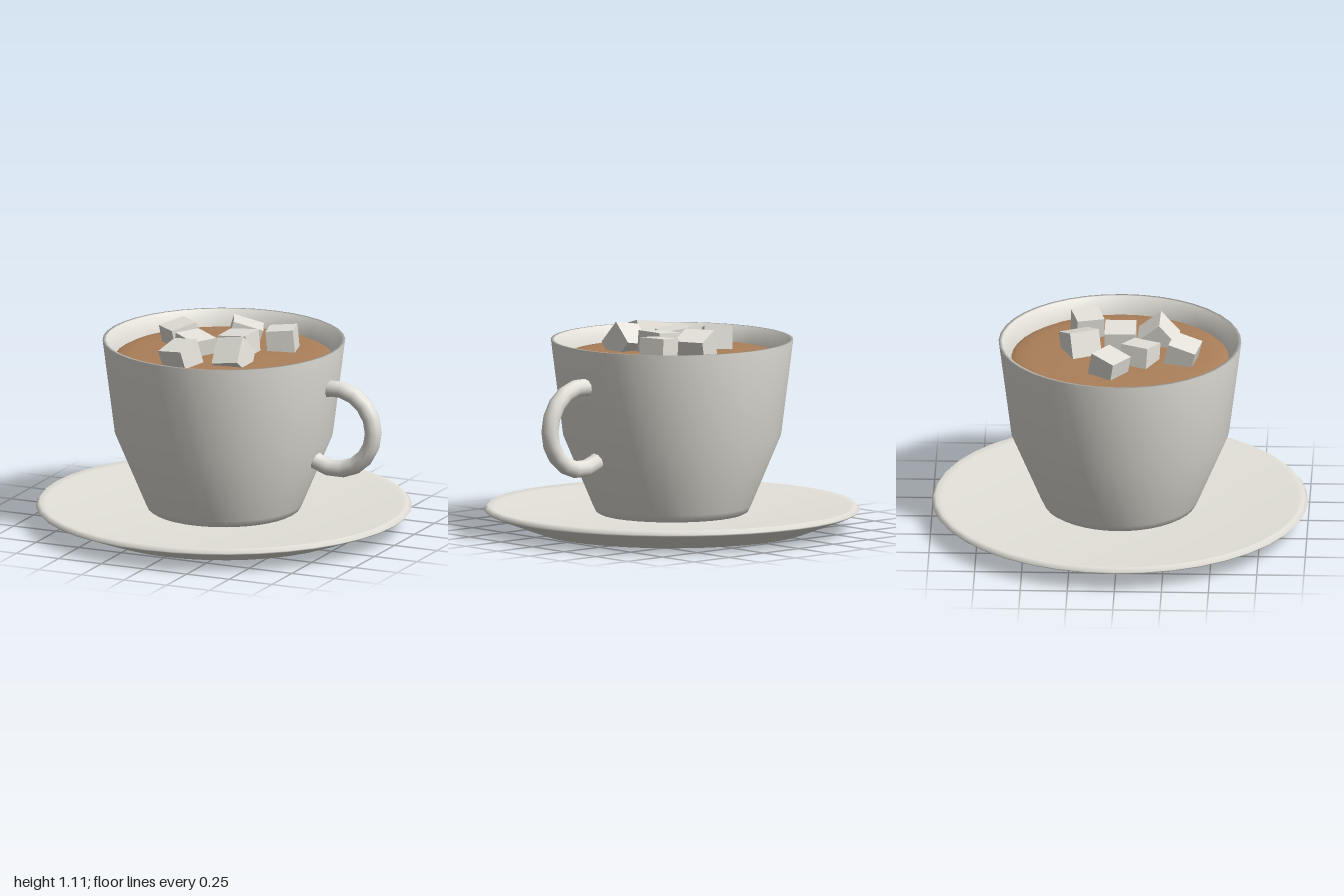
import * as THREE from 'three';

const SEGMENTS = 40;

export function createModel() {
  const model = new THREE.Group();
  model.name = 'cupOfCocoa';

  const white = new THREE.MeshStandardMaterial({ name: 'warm white', color: 0xe4e2da });
  const brown = new THREE.MeshStandardMaterial({ name: 'cocoa brown', color: 0xac805a });

  const add = (name, geometry, material, parent = model) => {
    const mesh = new THREE.Mesh(geometry, material);
    mesh.name = name;
    parent.add(mesh);
    return mesh;
  };

  // Smooth turned shape from [radius, height] pairs
  const turned = (profile) =>
    new THREE.LatheGeometry(profile.map(([r, y]) => new THREE.Vector2(r, y)), SEGMENTS);

  // Saucer: flared underside, thin rim and shallow dish, closed by a flat base
  add('saucer', turned([
    [0.73, 0], [0.99, 0.098], [1, 0.108], [0.98, 0.13], [0.95, 0.118], [0.4, 0.09], [0, 0.09],
  ]), white);
  add('saucerBase', new THREE.CircleGeometry(0.73, SEGMENTS), white).rotation.x = Math.PI / 2;

  // Cup: tapered outer wall, narrow rim, inner wall down to a floor
  add('cup', turned([
    [0, 0.085], [0.38, 0.085], [0.405, 0.1], [0.42, 0.13], [0.58, 0.51], [0.645, 1.02],
    [0.625, 1.02], [0.575, 0.92], [0.53, 0.52], [0.37, 0.15], [0, 0.15],
  ]), white);

  // Drink surface, slightly domed and rounded down at the wall
  add('cocoa', turned([[0.58, 0.925], [0.55, 0.942], [0.48, 0.951], [0.3, 0.957], [0, 0.96]]), brown);

  // Handle: open ring whose ends sink into the cup wall
  const step = Math.PI / 9;
  const handle = add('handle', new THREE.TorusGeometry(0.221, 0.046, 10, 13, 13 * step), white);
  handle.rotation.z = -7 * step;
  handle.position.set(0.655, 0.603, 0);

  // Marshmallows: [size, x, y, z, yaw, lean towards x, lean towards z]
  const marshmallows = new THREE.Group();
  marshmallows.name = 'marshmallows';
  model.add(marshmallows);
  const up = new THREE.Vector3(0, 1, 0);
  [
    [0.165, 0.02, 0.985, -0.21, 0.42, 0.28, -0.13],
    [0.148, 0.26, 0.995, -0.18, 0.27, -0.09, 0.02],
    [0.15, -0.28, 0.99, -0.05, -0.65, -0.14, 0.16],
    [0.155, -0.12, 0.98, 0.11, -0.45, 0.13, 0.06],
    [0.165, 0.09, 0.985, 0, 0, -0.09, 0],
    [0.155, 0.15, 0.99, 0.2, -0.1, -0.12, -0.85],
    [0.152, -0.095, 0.988, 0.333, -0.22, -0.18, 0.25],
  ].forEach(([size, x, y, z, yaw, leanX, leanZ]) => {
    const cube = new THREE.BoxGeometry(size, size, size);
    const mesh = add('marshmallow', cube, white, marshmallows);
    mesh.position.set(x, y, z);
    mesh.quaternion.setFromUnitVectors(up, new THREE.Vector3(leanX, 1, leanZ).normalize())
      .multiply(new THREE.Quaternion().setFromAxisAngle(up, yaw));
  });

  return model;
}
